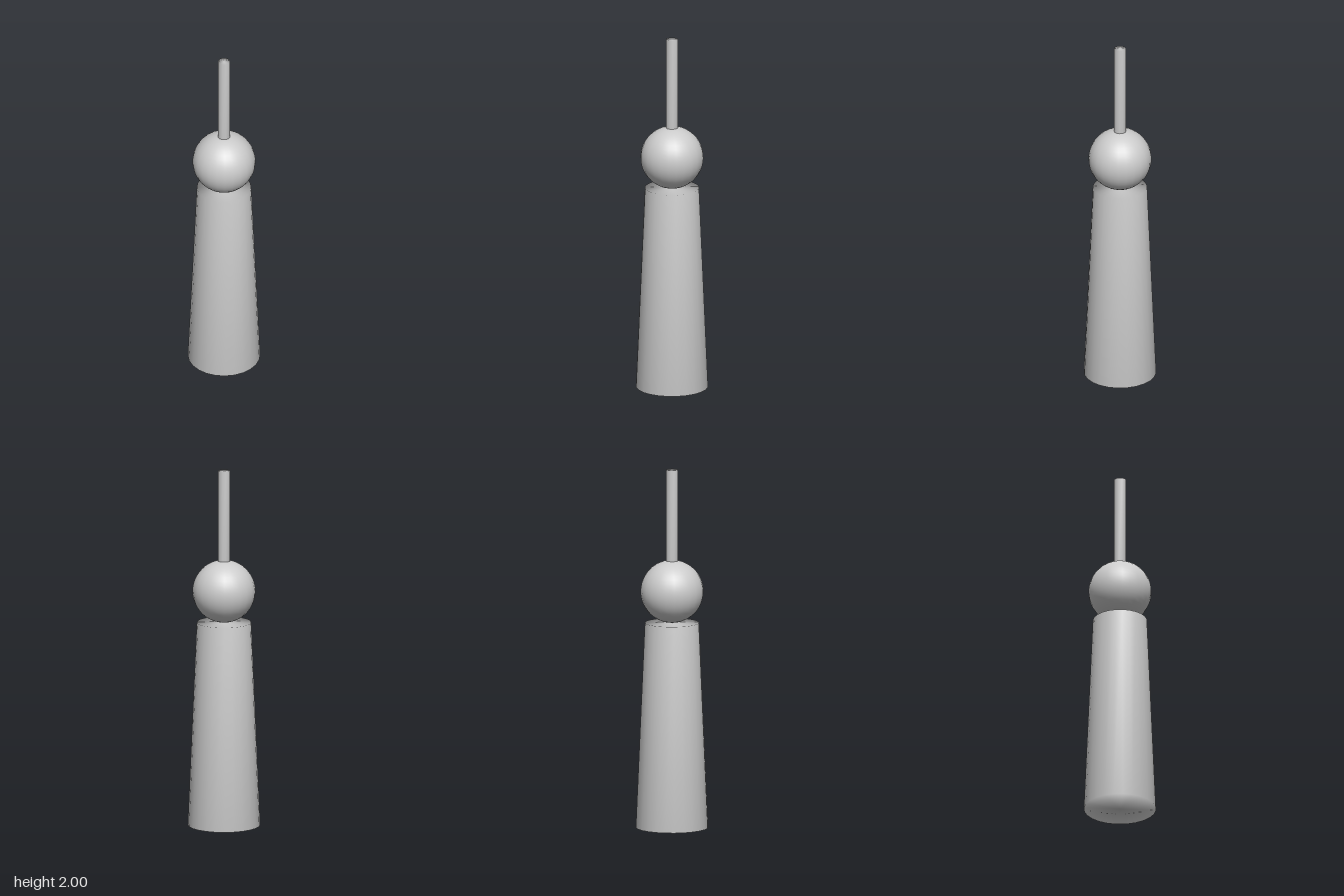
import * as THREE from 'three';
import { mergeVertices } from 'three/addons/utils/BufferGeometryUtils.js';

// Weld caps and walls so the shading flows softly over the rims
function weld(geometry) {
  geometry.deleteAttribute('uv');
  geometry.deleteAttribute('normal');
  const welded = mergeVertices(geometry, 1e-4);
  welded.computeVertexNormals();
  return welded;
}

export function createModel() {
  const model = new THREE.Group();
  model.name = 'tower';
  const material = new THREE.MeshStandardMaterial({ color: 0xcccccc });

  const add = (name, geometry, y) => {
    const mesh = new THREE.Mesh(geometry, material);
    mesh.name = name;
    mesh.position.y = y;
    model.add(mesh);
  };

  // Tapered base
  add('base', weld(new THREE.CylinderGeometry(0.15, 0.2, 1.145, 24)), 0.5725);

  // Ball resting on the base
  add('ball', new THREE.SphereGeometry(0.174, 24, 24), 1.32);

  // Thin mast on top of the ball
  add('mast', weld(new THREE.CylinderGeometry(0.034, 0.034, 0.51, 12)), 1.745);

  return model;
}
